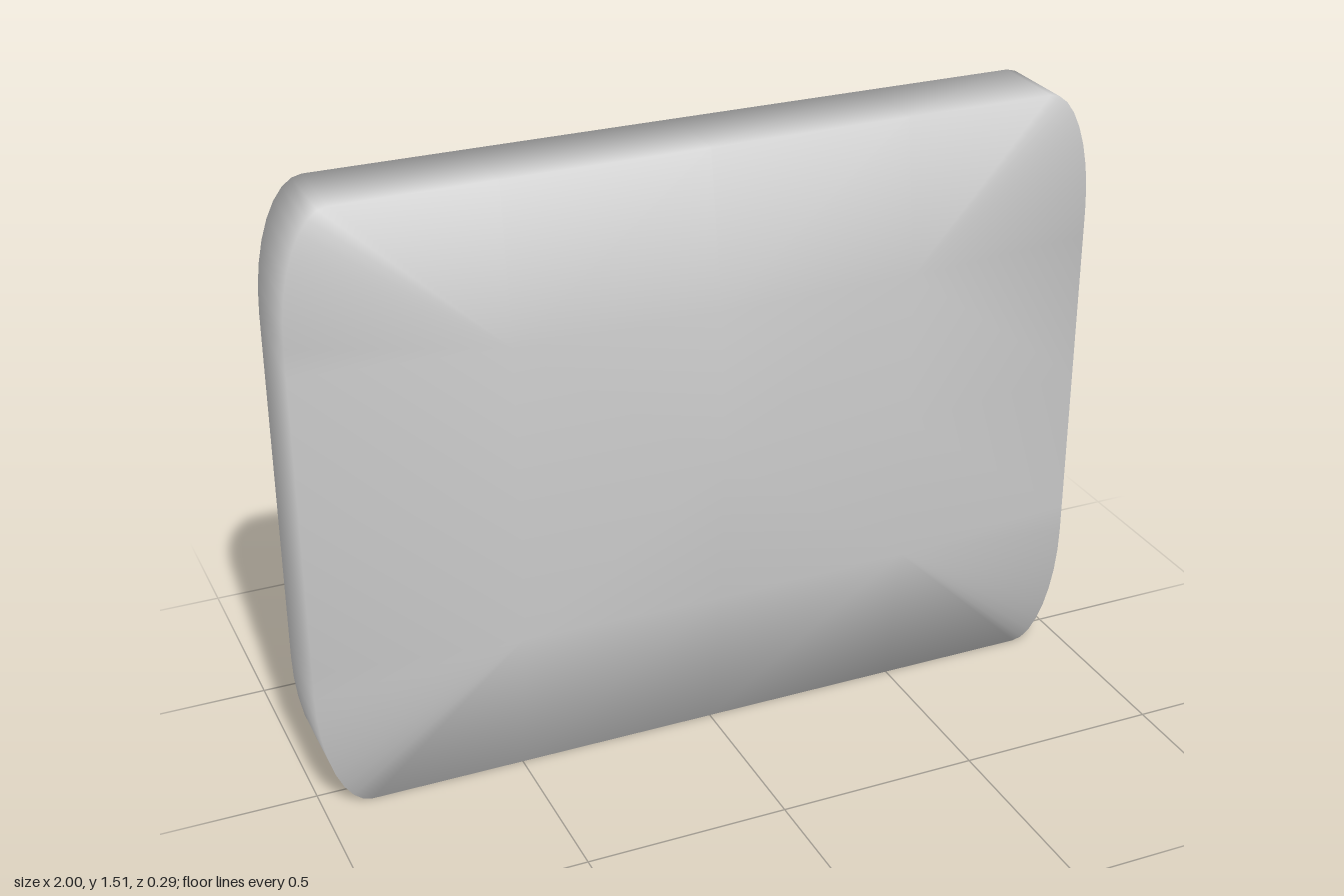
import * as THREE from 'three';
import { mergeVertices } from 'three/addons/utils/BufferGeometryUtils.js';

const W = 1, H = 0.757;            // half width, half height
const RX = 0.12, RY = 0.31;        // tall elliptical corners
const IX = 0.5, IY = 0.378;        // inner control rectangle
const BACK = -0.145, RIM = 0.063;  // flat back and front rim depth

// Counter-clockwise outline with stops that line up with the inner rectangle
function outline() {
  const pts = [];
  const corner = (sx, sy, start) => {
    for (let i = 0; i <= 8; i++) {
      const a = start + (i / 8) * Math.PI / 2;
      pts.push([sx * (W - RX) + RX * Math.cos(a), sy * (H - RY) + RY * Math.sin(a)]);
    }
  };
  const stops = [-1, 0, 1];
  stops.forEach(s => pts.push([W, s * IY]));
  corner(1, 1, 0);
  stops.forEach(s => pts.push([-s * IX, H]));
  corner(-1, 1, Math.PI / 2);
  stops.forEach(s => pts.push([-W, -s * IY]));
  corner(-1, -1, Math.PI);
  stops.forEach(s => pts.push([s * IX, -H]));
  corner(1, -1, Math.PI * 1.5);
  return pts;
}

// Depth of the padded front at the inner rectangle: lowest at its corners
const bulge = (x, y) => 0.147 - 0.022 * Math.abs(x) / IX - 0.022 * Math.abs(y) / IY + 0.01 * Math.abs(x * y) / (IX * IY);

function cushionGeometry() {
  const edge = outline(), n = edge.length;
  const inner = edge.map(([x, y]) => [
    THREE.MathUtils.clamp(x, -IX, IX), THREE.MathUtils.clamp(y, -IY, IY)]);

  // Rings from the back centre, around the rim, to the front centre
  const rings = [
    edge.map(() => [0, 0, BACK]),
    inner.map(([x, y]) => [x, y, BACK]),
    edge.map(([x, y]) => [x, y, BACK]),
    edge.map(([x, y]) => [x, y, RIM]),
    inner.map(([x, y]) => [x, y, bulge(x, y)]),
    edge.map(() => [0, 0, 0.147]),
  ];
  const index = [];
  for (let r = 0; r < rings.length - 1; r++) {
    for (let j = 0; j < n; j++) {
      const k = (j + 1) % n;
      const a = r * n + j, b = r * n + k, c = a + n, d = b + n;
      index.push(a, b, d, a, d, c);
    }
  }
  let geo = new THREE.BufferGeometry();
  geo.setAttribute('position', new THREE.Float32BufferAttribute(rings.flat(2), 3));
  geo.setIndex(index);
  geo = mergeVertices(geo, 1e-4);   // weld so the whole pad shades softly
  geo.computeVertexNormals();
  return geo;
}

export function createModel() {
  const group = new THREE.Group();
  group.name = 'backCushion';
  const pad = new THREE.Mesh(cushionGeometry(), new THREE.MeshStandardMaterial({ color: 0xcccccc }));
  pad.name = 'cushionPad';
  pad.position.y = H;
  group.add(pad);
  return group;
}
